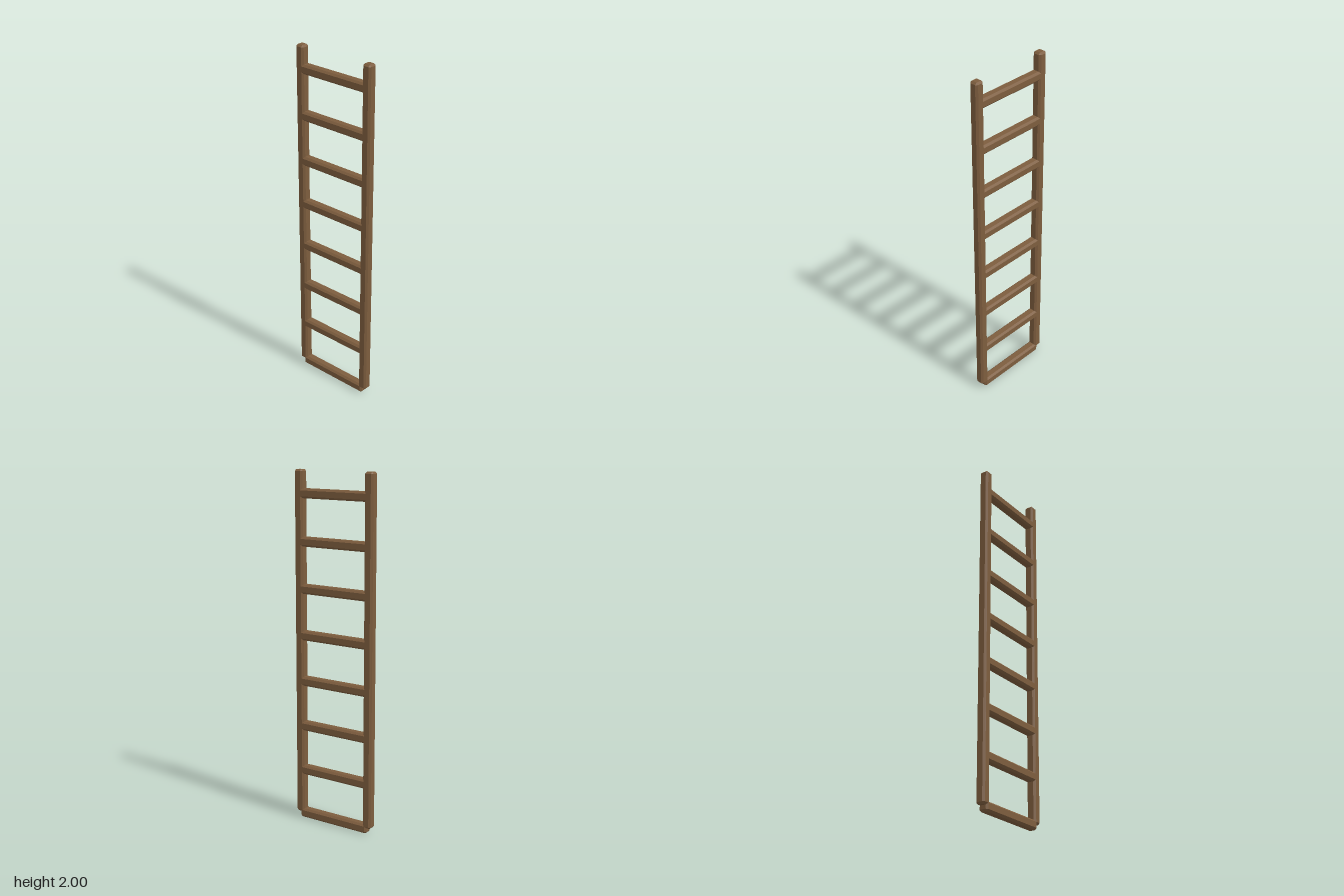
import * as THREE from 'three';
import { ConvexGeometry } from 'three/addons/geometries/ConvexGeometry.js';

const THICK = 0.053;   // square section of every beam
const CHAMFER = 0.0105;

// Box with every edge cut at 45 degrees
function chamferedBox(w, h, d, c) {
  const points = [];
  for (const sx of [-1, 1]) for (const sy of [-1, 1]) for (const sz of [-1, 1]) {
    for (let axis = 0; axis < 3; axis++) {
      const half = [w, h, d].map((s, i) => s / 2 - (i === axis ? 0 : c));
      points.push(new THREE.Vector3(sx * half[0], sy * half[1], sz * half[2]));
    }
  }
  return new ConvexGeometry(points);
}

export function createModel() {
  const ladder = new THREE.Group();
  ladder.name = 'ladder';
  const wood = new THREE.MeshStandardMaterial({ color: 0x7d5d3e, flatShading: true });

  function add(name, geometry, x, y) {
    const mesh = new THREE.Mesh(geometry, wood);
    mesh.name = name;
    mesh.position.set(x, y, 0);
    ladder.add(mesh);
  }

  // Two upright rails, starting just above the lowest rung's underside
  const railBottom = 0.032, railTop = 2;
  const railGeometry = chamferedBox(THICK, railTop - railBottom, THICK, CHAMFER);
  for (const side of [-1, 1]) {
    add(side > 0 ? 'leftRail' : 'rightRail', railGeometry, side * 0.2305, (railTop + railBottom) / 2);
  }

  // Eight evenly spaced rungs, their ends set into the rails
  const rungGeometry = chamferedBox(0.457, THICK, THICK, CHAMFER);
  const rungCount = 8, firstRung = THICK / 2, rungSpacing = 0.2635;
  for (let i = 0; i < rungCount; i++) {
    add(`rung${i + 1}`, rungGeometry, 0, firstRung + i * rungSpacing);
  }

  return ladder;
}
